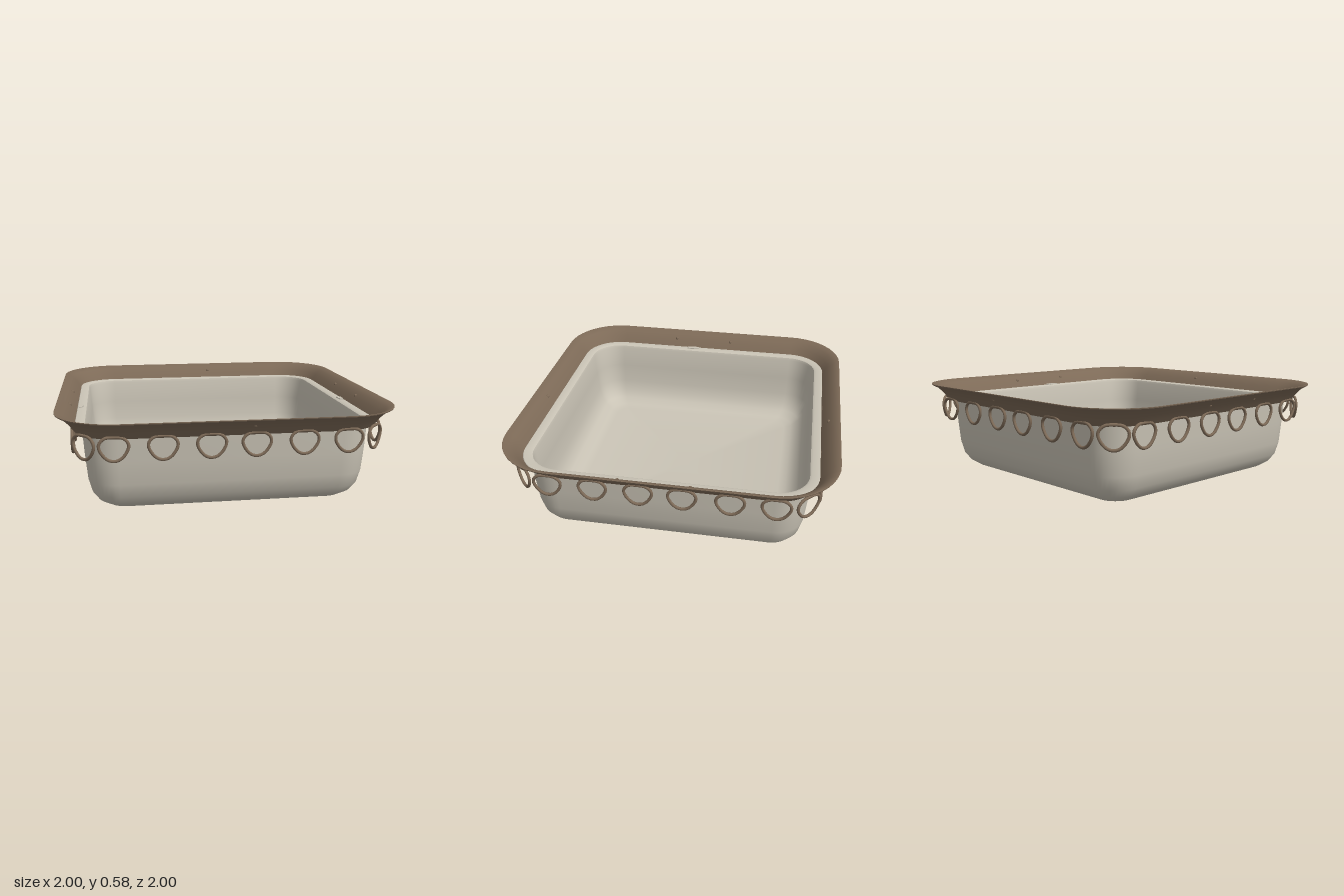
import * as THREE from 'three';
import { toCreasedNormals } from 'three/addons/utils/BufferGeometryUtils.js';

// Point on a rounded square: half width h, corner radius r, quarter q, step t in 0..1
function squarePoint(h, r, y, q, t) {
  const a = (q + t) * Math.PI / 2;
  const sx = q === 0 || q === 3 ? 1 : -1;
  const sz = q < 2 ? 1 : -1;
  return [sx * (h - r) + r * Math.cos(a), y, sz * (h - r) + r * Math.sin(a)];
}

// Sweeps profile rows [half width, height, corner radius] around a rounded square
function roundedSquareLoft(rows, steps = 10) {
  const positions = [], index = [], n = 4 * (steps + 1);
  for (const [h, y, r] of rows)
    for (let q = 0; q < 4; q++)
      for (let s = 0; s <= steps; s++) positions.push(...squarePoint(h, r, y, q, s / steps));
  for (let j = 0; j < rows.length - 1; j++)
    for (let i = 0; i < n; i++) {
      const a = j * n + i, b = j * n + (i + 1) % n;
      if (rows[j][0] > 0) index.push(a, a + n, b);
      if (rows[j + 1][0] > 0) index.push(b, a + n, b + n);
    }
  const geo = new THREE.BufferGeometry();
  geo.setAttribute('position', new THREE.Float32BufferAttribute(positions, 3));
  geo.setIndex(index);
  return toCreasedNormals(geo, 0.7);
}

export function createModel() {
  const model = new THREE.Group();
  model.name = 'squareBasin';
  const enamel = new THREE.MeshStandardMaterial({ color: 0xc9c3b5 });
  enamel.name = 'warm grey enamel';
  const bronze = new THREE.MeshStandardMaterial({ color: 0x7d6a57 });
  bronze.name = 'brown bronze';

  const add = (name, geo, mat, parent = model) => {
    const mesh = new THREE.Mesh(geo, mat);
    mesh.name = name;
    parent.add(mesh);
    return mesh;
  };

  // Basin: underside, outer wall, rolled lip, inner wall, floor
  add('basin', roundedSquareLoft([
    [0, 0, 0], [0.66, 0.002, 0.08], [0.71, 0.014, 0.11], [0.765, 0.05, 0.14],
    [0.8, 0.1, 0.16], [0.822, 0.18, 0.18], [0.835, 0.32, 0.19], [0.845, 0.468, 0.2],
    [0.887, 0.47, 0.245], [0.893, 0.478, 0.25], [0.887, 0.486, 0.245],
    [0.845, 0.488, 0.2], [0.832, 0.482, 0.19], [0.826, 0.465, 0.185],
    [0.816, 0.32, 0.175], [0.803, 0.19, 0.165], [0.782, 0.115, 0.15],
    [0.75, 0.068, 0.13], [0.7, 0.034, 0.105], [0.65, 0.024, 0.08], [0, 0.022, 0],
  ]), enamel);

  // Flared rim: outside up to the edge, then back down the inside
  const flare = [
    [0.855, 0.465], [0.89, 0.467], [0.905, 0.487], [0.93, 0.519], [0.962, 0.55], [0.998, 0.57],
    [1, 0.576], [0.994, 0.577], [0.955, 0.556], [0.922, 0.525], [0.898, 0.493], [0.886, 0.477],
    [0.855, 0.475], [0.855, 0.465],
  ];
  add('flaredRim', roundedSquareLoft(flare.map(([h, y]) => [h, y, h - 0.64])), bronze);

  // Hanging loops: six on each side and one at each corner
  const outline = [
    [0, 0.068], [0.05, 0.062], [0.078, 0.035], [0.08, 0.005], [0.05, -0.045], [0.018, -0.065],
    [-0.018, -0.065], [-0.05, -0.045], [-0.08, 0.005], [-0.078, 0.035], [-0.05, 0.062],
  ].map(([x, y]) => new THREE.Vector3(x, y, 0));
  const loopGeo = new THREE.TubeGeometry(new THREE.CatmullRomCurve3(outline, true), 32, 0.009, 8, true);
  const loops = new THREE.Group();
  loops.name = 'hangingLoops';
  model.add(loops);
  for (let side = 0; side < 4; side++) {
    const row = new THREE.Group();
    row.name = 'loopRow';
    row.rotation.y = side * Math.PI / 2;
    for (const x of [-0.67, -0.4, -0.13, 0.125, 0.4, 0.66])
      add('loop', loopGeo, bronze, row).position.set(x, 0.413, 0.898);
    const corner = add('cornerLoop', loopGeo, bronze, row);
    corner.position.set(0.835, 0.413, 0.835);
    corner.rotation.y = Math.PI / 4;
    loops.add(row);
  }

  // Small studs piercing the flared rim
  const studGeo = new THREE.SphereGeometry(0.012, 12, 8);
  for (const s of [-1, 1]) {
    for (const [x, z] of [[0.105, s * 0.932], [s * 0.932, -0.18], [s * 0.932, 0.235]])
      add('rimStud', studGeo, bronze).position.set(x, 0.53, z);

    // Small clip lying on the lip
    const clip = new THREE.Group();
    clip.name = 'lipClip';
    clip.position.set(s * 0.868, 0.488, 0.1);
    add('clipPlate', new THREE.BoxGeometry(0.03, 0.012, 0.05), enamel, clip);
    for (const e of [-1, 1])
      add('clipEnd', new THREE.BoxGeometry(0.022, 0.01, 0.018), enamel, clip).position.z = e * 0.034;
    model.add(clip);
  }
  return model;
}
